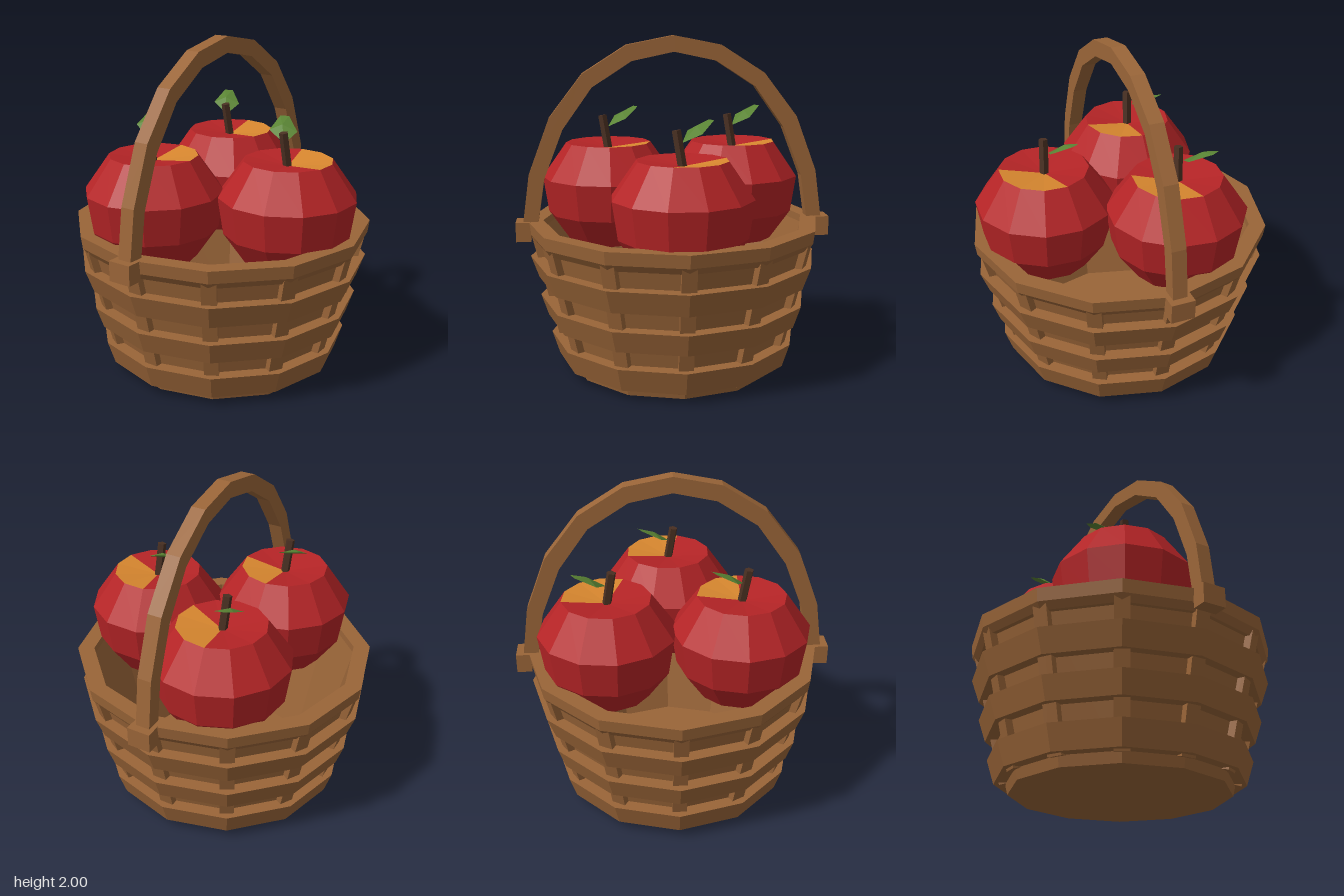
import * as THREE from 'three';

const SIDES = 12;
const flat = (name, color, side = THREE.FrontSide) =>
  new THREE.MeshStandardMaterial({ name, color, side, flatShading: true });

export function createModel() {
  const wood = flat('wood', 0x9a6538);
  const red = flat('apple red', 0xb52426);
  const orange = flat('orange blush', 0xd8872f);
  const bark = flat('stem brown', 0x4a3022);
  const green = flat('leaf green', 0x5a8434, THREE.DoubleSide);
  const model = new THREE.Group();
  model.name = 'appleBasket';

  const add = (parent, name, geometry, material) => {
    const mesh = new THREE.Mesh(geometry, material);
    mesh.name = name;
    parent.add(mesh);
    return mesh;
  };
  const lathe = (points, sides = SIDES, start = 0, length = Math.PI * 2) =>
    new THREE.LatheGeometry(points.map(([r, y]) => new THREE.Vector2(r, y)), sides, start, length);

  // Hollow tapered basket, slightly narrower across x
  const basket = new THREE.Group();
  basket.name = 'basket';
  basket.scale.x = 0.985;
  model.add(basket);
  add(basket, 'wall', lathe([[0, 0], [0.638, 0], [0.85, 0.86], [0.8, 0.86], [0.6, 0.05], [0, 0.05]]), wood);
  add(basket, 'rim', lathe([[0.8, 0.79], [0.86, 0.79], [0.89, 0.83], [0.9, 0.905], [0.8, 0.905], [0.8, 0.79]]), wood);

  // Horizontal woven bands, flaring upward
  [[0.06, 0.72, 0.2, 0.765], [0.31, 0.783, 0.44, 0.827], [0.55, 0.834, 0.685, 0.883]].forEach(([y0, r0, y1, r1]) =>
    add(basket, 'band', lathe([[r0 - 0.08, y0], [r0, y0], [r1, y1], [r1 - 0.08, y1], [r0 - 0.08, y0]]), wood));

  // Upright staves leaning outward at each corner
  for (let i = 0; i < SIDES; i++) {
    const pivot = new THREE.Group();
    pivot.name = 'stave';
    pivot.rotation.y = (i / SIDES) * Math.PI * 2;
    const stave = add(pivot, 'staveBoard', new THREE.BoxGeometry(0.085, 0.82, 0.05), wood);
    stave.position.set(0, 0.45, 0.755);
    stave.rotation.x = Math.atan(0.245);
    basket.add(pivot);
  }

  // Arched handle cut from an outer and an inner outline
  const outer = [[0.905, 0.82], [0.905, 0.905], [0.865, 1.19], [0.74, 1.52], [0.54, 1.78], [0.28, 1.945]];
  const inner = [[0.815, 0.82], [0.815, 0.905], [0.775, 1.16], [0.66, 1.455], [0.485, 1.7], [0.25, 1.852]];
  const arch = (half, top) => [...half, [0, top], ...half.map(([x, y]) => [-x, y]).reverse()];
  const outline = [...arch(outer, 2), ...arch(inner, 1.905).reverse()];
  const handleShape = new THREE.Shape(outline.map(([x, y]) => new THREE.Vector2(x, y)));
  const handleGeometry = new THREE.ExtrudeGeometry(handleShape, { depth: 0.086, bevelEnabled: false });
  handleGeometry.translate(0, 0, -0.043);
  add(model, 'handle', handleGeometry, wood);
  for (const side of [-1, 1]) {
    add(model, 'handleBlock', new THREE.BoxGeometry(0.09, 0.117, 0.14), wood).position.set(side * 0.905, 0.8475, 0);
  }

  // Leaf: five edge points around a raised middle
  const edge = [[0, 0.09, -0.03], [0.045, 0.145, -0.16], [0.165, 0.205, -0.16], [0.19, 0.205, -0.115], [0.11, 0.14, -0.01]];
  const ridge = [0.09, 0.175, -0.1];
  const leafGeometry = new THREE.BufferGeometry();
  const corners = edge.flatMap((p, i) => [...ridge, ...edge[(i + 1) % edge.length], ...p]);
  leafGeometry.setAttribute('position', new THREE.Float32BufferAttribute(corners, 3));
  leafGeometry.computeVertexNormals();

  // Apples: red body, dimpled top with an orange sector, stem and leaf
  const addApple = (x, y, z, startDegrees, sectors) => {
    const apple = new THREE.Group();
    apple.name = 'apple';
    apple.position.set(x, y, z);
    const start = THREE.MathUtils.degToRad(startDegrees);
    const length = (sectors / SIDES) * Math.PI * 2;
    const dimple = [[0.26, 0], [0, -0.035]];
    add(apple, 'appleBody', lathe([[0, -0.6], [0.25, -0.61], [0.375, -0.43], [0.408, -0.21], [0.26, 0]], SIDES, start), red);
    add(apple, 'appleTop', lathe(dimple, SIDES - sectors, start + length, Math.PI * 2 - length), red);
    add(apple, 'appleBlush', lathe(dimple, sectors, start, length), orange);
    const stem = add(apple, 'stem', new THREE.CylinderGeometry(0.027, 0.027, 0.21, 5), bark);
    stem.position.set(-0.018, 0.06, -0.008);
    stem.rotation.set(-0.06, 0, 0.16);
    add(apple, 'leaf', leafGeometry, green);
    model.add(apple);
  };
  addApple(0.005, 1.332, 0.46, -17, 4);
  addApple(0.39, 1.347, -0.205, -22, 4);
  addApple(-0.385, 1.347, -0.21, 0, 3);

  return model;
}
